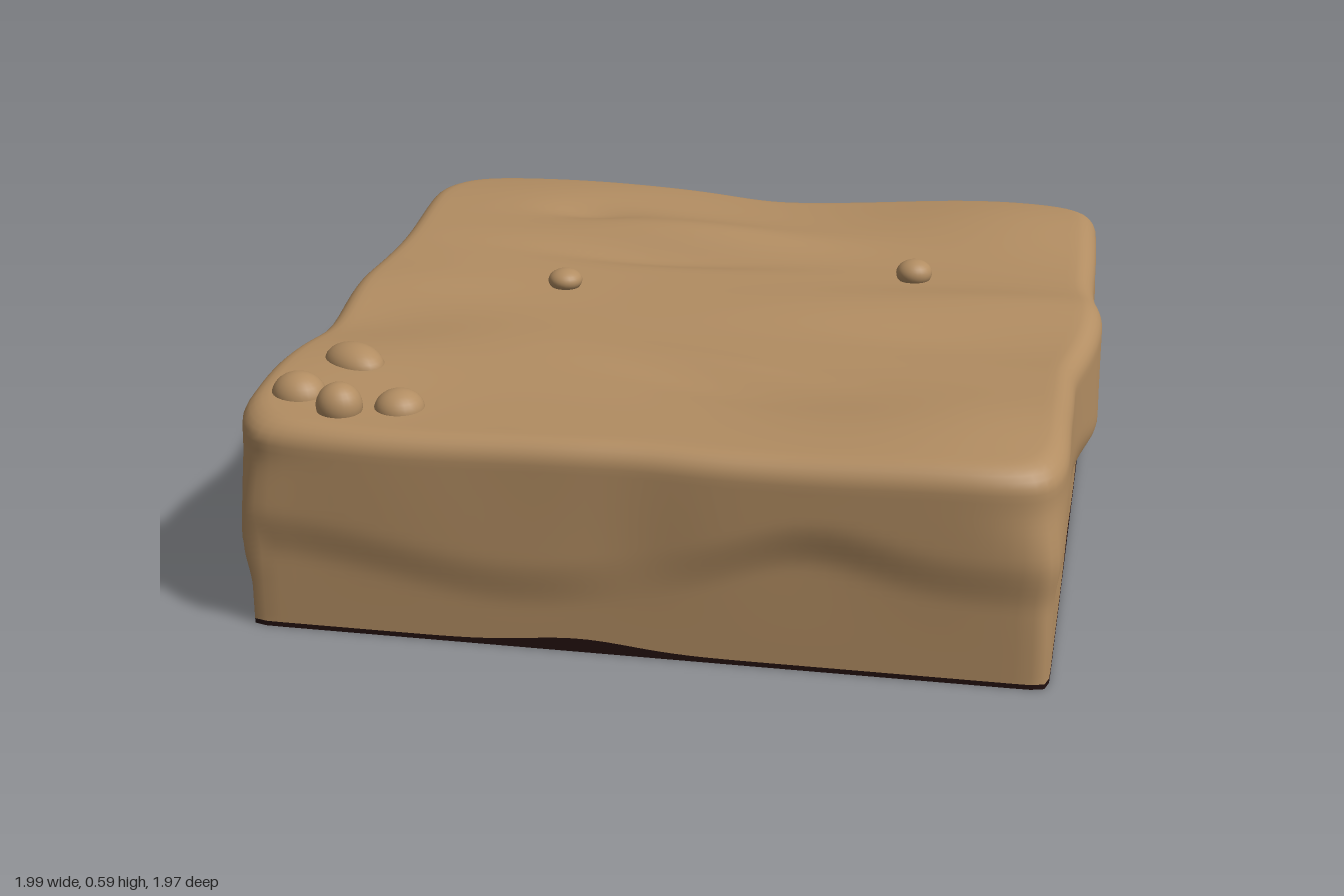
import * as THREE from 'three';

const clay = new THREE.MeshStandardMaterial({ color: 0xb28d62 });
clay.name = 'clay';
const darkEarth = new THREE.MeshStandardMaterial({ color: 0x22100f });
darkEarth.name = 'dark earth';

const PER_SIDE = 48;
const N = PER_SIDE * 4;

const bump = (d, w) => Math.exp(-(d * d) / (w * w));
const hill = (x, z, cx, cz, wx, wz, h) => h * bump(x - cx, wx) * bump(z - cz, wz);
const smooth = (a, b, v) => THREE.MathUtils.smoothstep(v, a, b);

// Rolling height of the top surface
function topHeight(x, z) {
  let y = 0.522;
  y += hill(x, z, -0.6, -0.8, 0.45, 0.22, 0.045);  // back corner rise
  y += hill(x, z, 0.7, -0.75, 0.4, 0.3, 0.042);    // other back corner rise
  y += hill(x, z, -0.2, -0.53, 0.4, 0.1, 0.035);   // ridge
  y -= hill(x, z, -0.2, -0.39, 0.35, 0.07, 0.03);  // hollow beside the ridge
  y -= hill(x, z, -0.48, -0.66, 0.13, 0.06, 0.02);
  y += hill(x, z, 0.7, -0.12, 0.4, 0.11, 0.025);   // swell by the side bulge
  y -= hill(x, z, 0.6, 0.12, 0.5, 0.15, 0.02);
  y += hill(x, z, 0.72, 0.72, 0.35, 0.25, 0.03);   // front corner swell
  y += hill(x, z, -0.85, 0.62, 0.25, 0.25, 0.015);
  y -= hill(x, z, -0.9, 0.2, 0.3, 0.18, 0.025);
  y += hill(x, z, -0.85, -0.05, 0.25, 0.13, 0.012);
  const d = z - 0.45 - 0.3 * x;                    // slanting crease
  y += bump(x - 0.1, 0.3) * (bump(d + 0.08, 0.07) - bump(d - 0.07, 0.08)) * 0.012;
  return y + 0.005 * Math.sin(5 * x + 2 * z) * Math.cos(6 * z - 2 * x);
}

// Point i of the outline, as a square with corners rounded by power n
function outline(i, n) {
  const side = Math.floor(i / PER_SIDE);
  const s = -1 + 2 * (i % PER_SIDE) / PER_SIDE;
  const [x, z] = [[1, s], [-s, 1], [-1, -s], [s, -1]][side];
  const k = Math.pow(Math.abs(x) ** n + Math.abs(z) ** n, -1 / n);
  return [x * k, z * k, side, side === 0 || side === 2 ? z : x];
}

// Height of the wavy overhang along each wall; t is x or z along it
const ledges = [
  (t) => 0.25 - 0.07 * bump(t + 0.1, 0.2) + 0.08 * bump(t + 0.4, 0.2),
  (t) => 0.26 - 0.09 * bump(t + 0.3, 0.4) + 0.07 * bump(t - 0.42, 0.22),
  (t) => 0.2 + 0.05 * Math.sin(4 * t),
  (t) => 0.24 + 0.06 * Math.sin(5 * t + 1),
];
// How far each wall stands out above its overhang
const swells = [
  (t) => 0.014 + 0.045 * bump(t + 0.1, 0.2) - 0.012 * bump(t - 0.25, 0.15),
  (t) => 0.016 - 0.012 * bump(t, 0.15) + 0.008 * bump(t - 0.45, 0.2),
  (t) => 0.036 + 0.006 * Math.sin(3 * t),
  (t) => 0.02 - 0.03 * bump(t, 0.16) + 0.006 * bump(t - 0.35, 0.2),
];

// Wall point for outline index i at height y
function wallPoint(i, y) {
  const lift = smooth(0.05, 0.45, y);
  const [px, pz, side, t] = outline(i, THREE.MathUtils.lerp(70, 17, lift));
  const fade = 1 - smooth(0.8, 1, Math.abs(t));
  const ledge = ledges[side](t);
  const swell = THREE.MathUtils.lerp(0.015, swells[side](t), fade);
  const out = 1 + swell * smooth(ledge - 0.07, ledge + 0.06, y)
    + 0.004 * fade * Math.sin(9 * t + side) * lift;
  return [-0.015 + 0.945 * px * out, 0.96 * pz * out];
}

// Ragged upper edge of the dark underside
function earthEdge(i) {
  const [, , side, t] = outline(i, 70);
  const centre = [-0.45, -0.15, 0.1, 0.3][side];
  return 0.012 + 0.022 * bump(t - centre, 0.18) + (side === 0 ? 0.02 * bump(t - 0.15, 0.16) : 0);
}

// Closed skin through a list of rings, each a function of the outline index
function skin(name, rings, material) {
  const positions = [];
  const index = [];
  rings.forEach((ring) => {
    for (let i = 0; i < N; i++) positions.push(...ring(i));
  });
  for (let r = 0; r < rings.length - 1; r++) {
    for (let i = 0; i < N; i++) {
      const j = (i + 1) % N;
      const a = r * N + i, b = r * N + j;
      index.push(a, a + N, b, b, a + N, b + N);
    }
  }
  const geometry = new THREE.BufferGeometry();
  geometry.setAttribute('position', new THREE.Float32BufferAttribute(positions, 3));
  geometry.setIndex(index);
  geometry.computeVertexNormals();
  const mesh = new THREE.Mesh(geometry, material);
  mesh.name = name;
  return mesh;
}

export function createModel() {
  const group = new THREE.Group();
  group.name = 'groundBlock';

  // Clay walls, rounded rim and rolling top
  const rim = 0.055;
  const rings = [];
  const shoulder = (i) => {
    const [x, z] = wallPoint(i, 0.48);
    return [x, z, topHeight(x, z) - rim];
  };
  for (let k = 0; k < 26; k++) {
    rings.push((i) => {
      const y = THREE.MathUtils.lerp(earthEdge(i), shoulder(i)[2], k / 25);
      const [x, z] = wallPoint(i, y);
      return [x, y, z];
    });
  }
  for (let k = 1; k <= 6; k++) {
    const a = (k / 6) * Math.PI / 2;
    const scale = 1 - rim * (1 - Math.cos(a));
    rings.push((i) => {
      const [x, z, y] = shoulder(i);
      const h = topHeight(x * scale, z * scale) - topHeight(x, z);
      return [x * scale, y + rim * Math.sin(a) + h, z * scale];
    });
  }
  for (let k = 1; k <= 44; k++) {
    const scale = (1 - rim) * (1 - k / 44);
    rings.push((i) => {
      const [x, z] = shoulder(i);
      return [x * scale, topHeight(x * scale, z * scale), z * scale];
    });
  }
  group.add(skin('clayBlock', rings, clay));

  // Dark underside and its thin edge
  const foot = (i) => {
    const [x, z] = wallPoint(i, 0);
    return [x, 0, z];
  };
  group.add(skin('underside', [() => [-0.015, 0, 0], foot], darkEarth));
  group.add(skin('earthEdge', [foot, (i) => {
    const y = earthEdge(i);
    const [x, z] = wallPoint(i, y);
    return [x, y, z];
  }], darkEarth));

  // Pebbles: x, y, z, radii along x, y, z, turn
  [
    [-0.80, 0.525, 0.56, 0.088, 0.05, 0.062, -0.6],
    [-0.87, 0.52, 0.77, 0.068, 0.057, 0.062, -0.4],
    [-0.745, 0.535, 0.85, 0.055, 0.055, 0.052, 0],
    [-0.615, 0.515, 0.80, 0.06, 0.048, 0.06, 0],
    [0.475, 0.54, -0.31, 0.048, 0.036, 0.045, 0.3],
    [-0.43, 0.535, -0.105, 0.045, 0.03, 0.045, 0],
    [-0.945, 0.27, -0.94, 0.032, 0.025, 0.032, 0],
  ].forEach(([x, y, z, rx, ry, rz, turn]) => {
    const pebble = new THREE.Mesh(new THREE.SphereGeometry(1, 24, 16), clay);
    pebble.name = 'pebble';
    pebble.position.set(x, y, z);
    pebble.scale.set(rx, ry, rz);
    pebble.rotation.y = turn;
    group.add(pebble);
  });

  return group;
}
